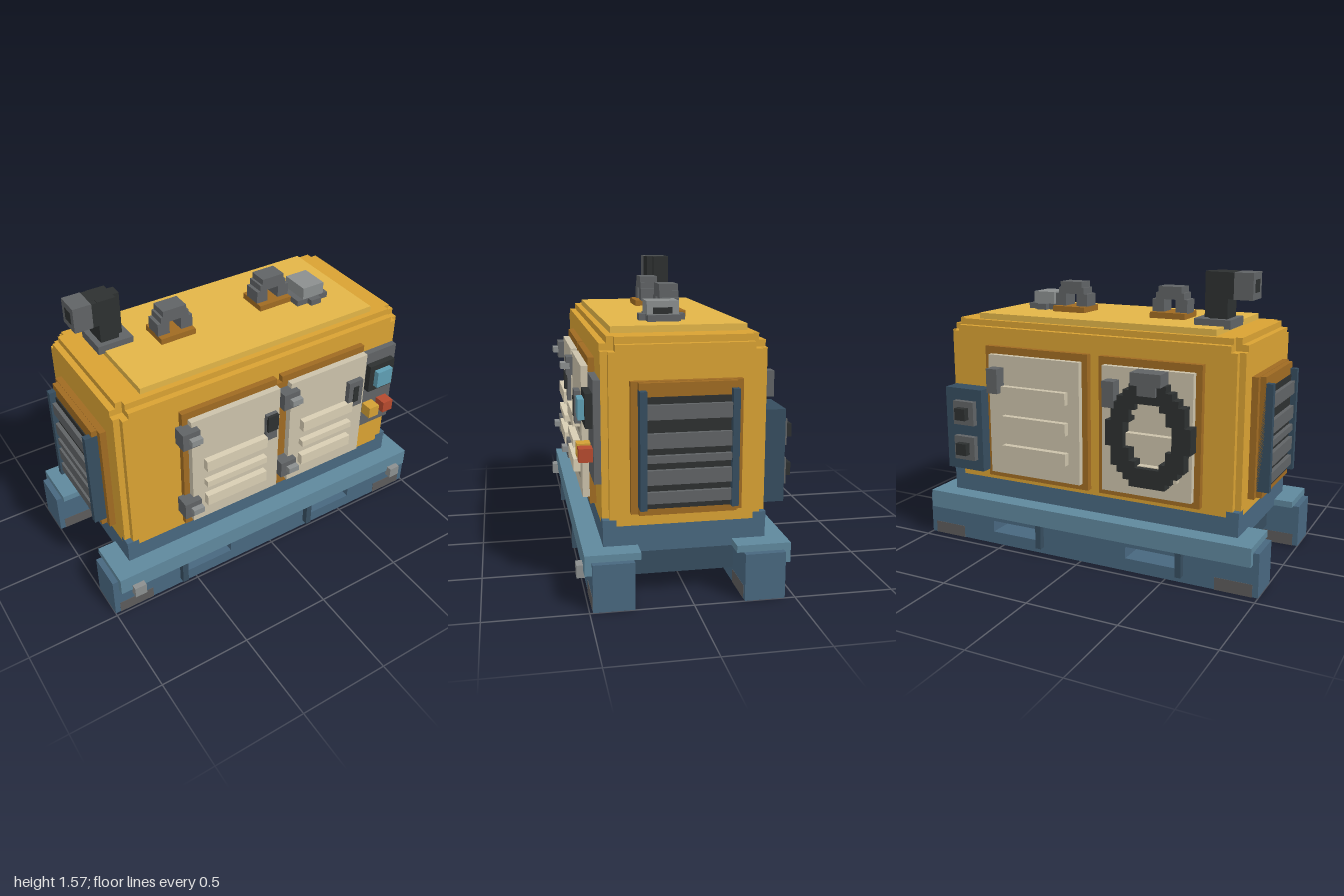
import * as THREE from 'three';

const V = 0.0333; // block size
const MID = 0.018; // depth centre of body and skid
const mats = {};
const C = {
  yellow: 0xd9a233, roof: 0xe2b548, brown: 0xa06b22, beige: 0xcbc2aa, slat: 0xd8cdb3, shade: 0x938c7a,
  blue: 0x48677f, lightBlue: 0x5f889d, darkBlue: 0x364d5f, grey: 0x606365, lightGrey: 0x8b8f8f,
  dark: 0x2d3030, screen: 0x5f9fb4, red: 0xb54a2e, amber: 0xd3a035, worn: 0x5c5b5b,
};

function mat(name) {
  return (mats[name] ??= new THREE.MeshStandardMaterial({ color: C[name], flatShading: true }));
}

function part(parent, name) {
  const g = new THREE.Group();
  g.name = name;
  parent.add(g);
  return g;
}

// Box given by its extents on each axis
function box(parent, name, color, x0, x1, y0, y1, z0, z1) {
  const m = new THREE.Mesh(new THREE.BoxGeometry(Math.abs(x1 - x0), y1 - y0, Math.abs(z1 - z0)), mat(color));
  m.position.set((x0 + x1) / 2, (y0 + y1) / 2, (z0 + z1) / 2);
  m.name = name;
  parent.add(m);
  return m;
}

function rectPath(P, x0, x1, y0, y1) {
  const p = new P();
  p.moveTo(x0, y0);
  p.lineTo(x1, y0);
  p.lineTo(x1, y1);
  p.lineTo(x0, y1);
  p.closePath();
  return p;
}

// Skid: two runners with fork pockets, capped rails and cross members
function buildSkid(root) {
  const skid = part(root, 'skid');
  for (const s of [1, -1]) {
    const z = (d) => MID + s * d;
    const shape = rectPath(THREE.Shape, -1, 1, 0, 0.235);
    shape.holes.push(rectPath(THREE.Path, -0.57, -0.27, 0.07, 0.135), rectPath(THREE.Path, 0.265, 0.565, 0.07, 0.135));
    const runner = new THREE.Mesh(new THREE.ExtrudeGeometry(shape, { depth: 0.2, bevelEnabled: false }), mat('blue'));
    runner.position.z = Math.min(z(0.266), z(0.466));
    runner.name = 'runner';
    skid.add(runner);
    box(skid, 'railCap', 'lightBlue', -0.968, 0.968, 0.235, 0.27, z(0.232), z(0.5));
    box(skid, 'railLip', 'lightBlue', -0.968, 0.968, 0.17, 0.236, z(0.46), z(0.5));
    for (const x of [-0.6, 0.233]) {
      box(skid, 'outerRib', 'darkBlue', x, x + V, 0.037, 0.17, z(0.46), z(0.5));
      box(skid, 'innerRib', 'darkBlue', x, x + V, 0.037, 0.235, z(0.232), z(0.27));
    }
    for (const e of [1, -1]) {
      box(skid, 'wornEnd', 'worn', e * 0.77, e * 0.97, -0.001, 0.067, z(0.265), z(0.468));
    }
  }
  for (const x of [-0.72, 0, 0.72]) {
    box(skid, 'crossMember', 'darkBlue', x - 0.1, x + 0.1, 0.1, 0.236, -0.235, 0.27);
  }
  for (const x of [-0.87, 0.87]) box(skid, 'groundBolt', 'lightGrey', x - V, x + V, 0.137, 0.2, 0.51, 0.55);
}

// Housing: union of inset boxes gives stepped edges and corners
function buildHousing(root) {
  const body = part(root, 'housing');
  for (const [a, b, c] of [[0, 1, 2], [0, 2, 1], [1, 0, 2], [1, 2, 0], [2, 0, 1], [2, 1, 0]]) {
    const x = 0.866 - a * V, z = 0.4 - c * V;
    box(body, 'shell', 'yellow', -x, x, 0.368, 1.27 - b * V, MID - z, MID + z);
  }
  box(body, 'roofPlate', 'roof', -0.7, 0.7, 1.26, 1.303, -0.32, 0.353);
  box(body, 'plinth', 'blue', -0.865, 0.865, 0.235, 0.368, -0.381, 0.417);
  for (const sx of [1, -1]) for (const sz of [1, -1]) {
    box(body, 'plinthCorner', 'blue', sx * 0.8, sx * 0.867, 0.367, 0.4, MID + sz * 0.335, MID + sz * 0.401);
  }
}

// Front doors with louvre slats, hinges and handles
function buildFront(root) {
  const front = part(root, 'frontDoors');
  box(front, 'doorFrame', 'brown', -0.535, 0.025, 0.4, 1.14, 0.4, 0.45);
  box(front, 'doorFrame', 'brown', 0.06, 0.597, 0.4, 1.14, 0.4, 0.45);
  box(front, 'doorSeam', 'brown', 0.025, 0.06, 0.4, 1.105, 0.4, 0.45);
  for (const [x0, x1, s0, s1, hx] of [[-0.503, 0.025, -0.435, -0.068, -0.57], [0.095, 0.596, 0.165, 0.497, 0.03]]) {
    box(front, 'door', 'beige', x0, x1, 0.435, 1.1, 0.44, 0.485);
    for (const [y0, y1] of [[0.775, 0.84], [0.668, 0.705], [0.54, 0.605]]) {
      box(front, 'slat', 'slat', s0, s1, y0, y1, 0.47, 0.52);
      box(front, 'slatShadow', 'shade', s0 + V, s1, y0 - V, y0, 0.47, 0.487);
    }
    for (const y of [0.51, 0.973]) {
      box(front, 'hinge', 'grey', hx, hx + 0.097, y, y + 0.097, 0.44, 0.52);
      box(front, 'hingePin', 'lightGrey', hx + V, hx + 0.097, y + V, y + 0.066, 0.5, 0.55);
    }
  }
  box(front, 'handle', 'grey', -0.068, 0, 0.805, 0.97, 0.47, 0.505);
  box(front, 'handleGrip', 'dark', -0.066, -0.002, 0.87, 0.968, 0.49, 0.52);
  box(front, 'handle', 'grey', 0.467, 0.56, 0.805, 0.97, 0.47, 0.515);
  box(front, 'handleGrip', 'dark', 0.497, 0.53, 0.838, 0.938, 0.5, 0.52);

  const panel = part(root, 'controlPanel');
  box(panel, 'panelPlate', 'grey', 0.597, 0.83, 0.57, 1.07, 0.38, 0.452);
  box(panel, 'screenBezel', 'dark', 0.63, 0.8, 0.835, 1.003, 0.44, 0.487);
  box(panel, 'screen', 'screen', 0.663, 0.765, 0.87, 0.97, 0.47, 0.518);
  box(panel, 'startButton', 'amber', 0.63, 0.697, 0.67, 0.737, 0.44, 0.52);
  box(panel, 'stopButton', 'red', 0.73, 0.797, 0.67, 0.737, 0.44, 0.52);
}

// Louvred grille on each end
function buildGrilles(root) {
  for (const s of [1, -1]) {
    const g = part(root, s > 0 ? 'leftGrille' : 'rightGrille');
    box(g, 'grilleFrame', 'brown', s * 0.85, s * 0.9, 0.435, 1.07, -0.25, 0.287);
    box(g, 'grilleInset', 'brown', s * 0.89, s * 0.93, 0.437, 1.068, -0.217, 0.253);
    box(g, 'grilleBack', 'dark', s * 0.9, s * 0.936, 0.47, 1.003, -0.185, 0.22);
    for (const z of [-0.217, 0.22]) box(g, 'grillePost', 'darkBlue', s * 0.9, s * 0.967, 0.47, 1.035, z, z + V);
    for (const [y0, y1] of [[0.9, 0.97], [0.765, 0.835], [0.695, 0.73], [0.59, 0.66], [0.5, 0.555]]) {
      box(g, 'grilleSlat', 'grey', s * 0.92, s * 0.957, y0, y1, -0.184, 0.219);
    }
  }
}

// Rear doors, coiled hose and socket box
function buildRear(root) {
  const rear = part(root, 'rearDoors');
  for (const [x0, x1, p0, p1, lx] of [[-0.67, -0.1, -0.637, -0.135, -0.235], [-0.033, 0.6, 0, 0.56, 0.465]]) {
    box(rear, 'rearFrame', 'brown', x0, x1, 0.4, 1.14, -0.37, -0.417);
    box(rear, 'rearDoor', 'beige', p0, p1, 0.435, 1.1, -0.4, -0.45);
    for (const y of [0.54, 0.705, 0.87]) {
      box(rear, 'rearSlat', 'beige', p0 + 0.067, p1 - 0.097, y, y + 0.067, -0.44, -0.485);
    }
    box(rear, 'rearLatch', 'grey', lx, lx + 0.067, 0.9, 1.035, -0.44, -0.518);
  }

  // Stepped ring built row by row
  const hose = part(root, 'hoseCoil');
  const cx = -0.42, cy = 0.77, rows = 16;
  const half = (rx, ry, y) => (Math.abs(y) < ry ? Math.round((rx * Math.sqrt(1 - (y / ry) ** 2)) / V) * V : 0);
  for (let i = 0; i < rows; i++) {
    const y = (i - rows / 2 + 0.5) * V;
    const o = half(0.222, 0.275, y), n = half(0.125, 0.165, y);
    const y0 = cy + y - V / 2, y1 = y0 + V;
    if (n === 0) box(hose, 'hoseRow', 'dark', cx - o, cx + o, y0, y1, -0.44, -0.517);
    else for (const s of [1, -1]) box(hose, 'hoseRow', 'dark', cx + s * n, cx + s * o, y0, y1, -0.44, -0.517);
  }
  box(hose, 'hoseHanger', 'grey', cx - 0.085, cx + 0.08, 1.035, 1.1, -0.4, -0.55);
  box(hose, 'hangerNeck', 'grey', cx - 0.05, cx + 0.05, 0.98, 1.04, -0.44, -0.53);

  const sockets = part(root, 'socketBox');
  box(sockets, 'socketHousing', 'darkBlue', 0.595, 0.832, 0.435, 0.9, -0.37, -0.483);
  for (const y of [0.567, 0.767]) {
    box(sockets, 'socketPlate', 'grey', 0.63, 0.763, y - 0.067, y + 0.067, -0.47, -0.515);
    box(sockets, 'socketPlug', 'dark', 0.663, 0.73, y - V, y + V, -0.5, -0.55);
  }
}

// Lifting lugs, filler cap and exhaust
function buildRoofParts(root) {
  for (const x of [-0.335, 0.265]) {
    const lug = part(root, 'liftingLug');
    box(lug, 'lugBase', 'brown', x - 0.1, x + 0.1, 1.29, 1.335, -0.085, 0.083);
    for (const s of [1, -1]) {
      box(lug, 'lugLeg', 'grey', x + s * V, x + s * 0.1, 1.33, 1.403, -0.05, 0.05);
      box(lug, 'lugShoulder', 'grey', x + s * V, x + s * 0.08, 1.4, 1.437, -0.05, 0.05);
    }
    box(lug, 'lugBridge', 'grey', x - 0.067, x + 0.067, 1.402, 1.47, -0.05, 0.05);
  }

  const cap = part(root, 'fillerCap');
  box(cap, 'capBase', 'grey', 0.363, 0.56, 1.29, 1.335, -0.02, 0.147);
  box(cap, 'capTab', 'grey', 0.43, 0.495, 1.29, 1.335, -0.053, 0.18);
  box(cap, 'capTop', 'lightGrey', 0.398, 0.53, 1.33, 1.402, -0.015, 0.147);
  box(cap, 'capSlot', 'dark', 0.52, 0.532, 1.338, 1.37, 0.018, 0.115);

  const ex = part(root, 'exhaust');
  box(ex, 'exhaustBase', 'grey', -0.735, -0.54, 1.29, 1.336, -0.217, -0.02);
  box(ex, 'exhaustPipe', 'dark', -0.705, -0.605, 1.33, 1.57, -0.183, -0.05);
  box(ex, 'exhaustPipe', 'dark', -0.737, -0.572, 1.435, 1.569, -0.15, -0.083);
  box(ex, 'exhaustPipe', 'dark', -0.61, -0.572, 1.33, 1.5, -0.15, -0.083);
  box(ex, 'exhaustElbow', 'dark', -0.735, -0.7, 1.437, 1.568, -0.183, -0.05);
  box(ex, 'exhaustOutlet', 'grey', -0.835, -0.735, 1.435, 1.57, -0.184, -0.05);
  box(ex, 'exhaustMouth', 'dark', -0.837, -0.82, 1.47, 1.535, -0.15, -0.083);
}

export function createModel() {
  const root = new THREE.Group();
  root.name = 'generator';
  for (const build of [buildSkid, buildHousing, buildFront, buildGrilles, buildRear, buildRoofParts]) build(root);
  return root;
}
